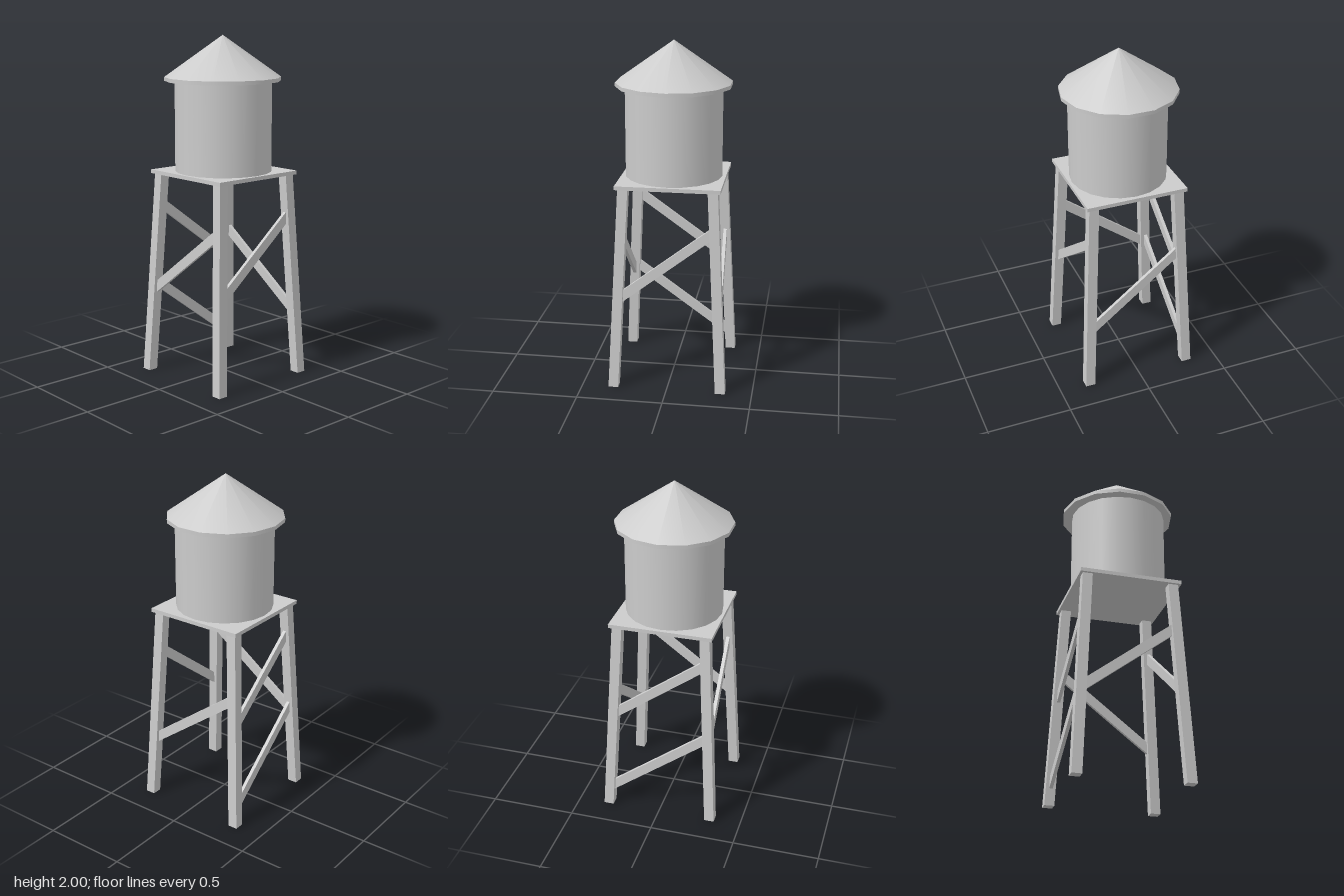
import * as THREE from 'three';

const LEG = 0.058, LEG_TOP = 1.2;
// Distance of a leg's centre line from the middle axis at height y
const legOffset = (y) => 0.315 - 0.05 * y;

export function createModel() {
  const model = new THREE.Group();
  model.name = 'waterTower';
  const material = new THREE.MeshStandardMaterial({ color: 0xcccccc });

  const add = (name, geometry, x = 0, y = 0, z = 0) => {
    const mesh = new THREE.Mesh(geometry, material);
    mesh.name = name;
    mesh.position.set(x, y, z);
    model.add(mesh);
    return mesh;
  };

  // Square leg leaning in towards the platform, with level ends
  const addLeg = (name, sx, sz) => {
    const geometry = new THREE.BoxGeometry(LEG, LEG_TOP, LEG);
    geometry.translate(0, LEG_TOP / 2, 0);
    const p = geometry.attributes.position;
    for (let i = 0; i < p.count; i++) {
      const d = legOffset(p.getY(i));
      p.setX(i, p.getX(i) + sx * d);
      p.setZ(i, p.getZ(i) + sz * d);
    }
    geometry.computeVertexNormals();
    add(name, geometry);
  };
  addLeg('frontLeftLeg', 1, 1);
  addLeg('frontRightLeg', -1, 1);
  addLeg('backLeftLeg', 1, -1);
  addLeg('backRightLeg', -1, -1);

  // Flat plank between two neighbouring legs, each end given as [sx, sz, y]
  const addBrace = (name, a, b) => {
    const [start, end] = [a, b].map(([sx, sz, y]) =>
      new THREE.Vector3(sx * legOffset(y), y, sz * legOffset(y)));
    const along = end.clone().sub(start);
    const length = along.length();
    along.normalize();
    const outward = new THREE.Vector3(a[0] + b[0], 0, a[1] + b[1]).normalize();
    const across = outward.clone().cross(along).normalize();
    const normal = along.clone().cross(across);
    const brace = add(name, new THREE.BoxGeometry(length, 0.055, 0.02));
    brace.quaternion.setFromRotationMatrix(
      new THREE.Matrix4().makeBasis(along, across, normal));
    brace.position.copy(start).lerp(end, 0.5);
  };
  addBrace('frontBrace', [-1, 1, 0.54], [1, 1, 0.967]);
  addBrace('backUpperBrace', [-1, -1, 1.027], [1, -1, 0.626]);
  addBrace('backLowerBrace', [-1, -1, 0.555], [1, -1, 0.112]);
  addBrace('rightBrace', [-1, 1, 0.93], [-1, -1, 0.501]);
  addBrace('leftBrace', [1, 1, 0.373], [1, -1, 0.801]);

  // Platform and tank
  add('platform', new THREE.BoxGeometry(0.6, 0.022, 0.6), 0, 1.211, 0);
  add('tank', new THREE.CylinderGeometry(0.281, 0.281, 0.53, 20), -0.003, 1.485, 0.002);

  // Fourteen-sided roof: thin rim under a cone
  add('roofRim', new THREE.CylinderGeometry(0.335, 0.335, 0.022, 14), -0.004, 1.752, -0.004);
  add('roofCone', new THREE.ConeGeometry(0.335, 0.237, 14, 1, true), -0.004, 1.8815, -0.004);

  return model;
}
